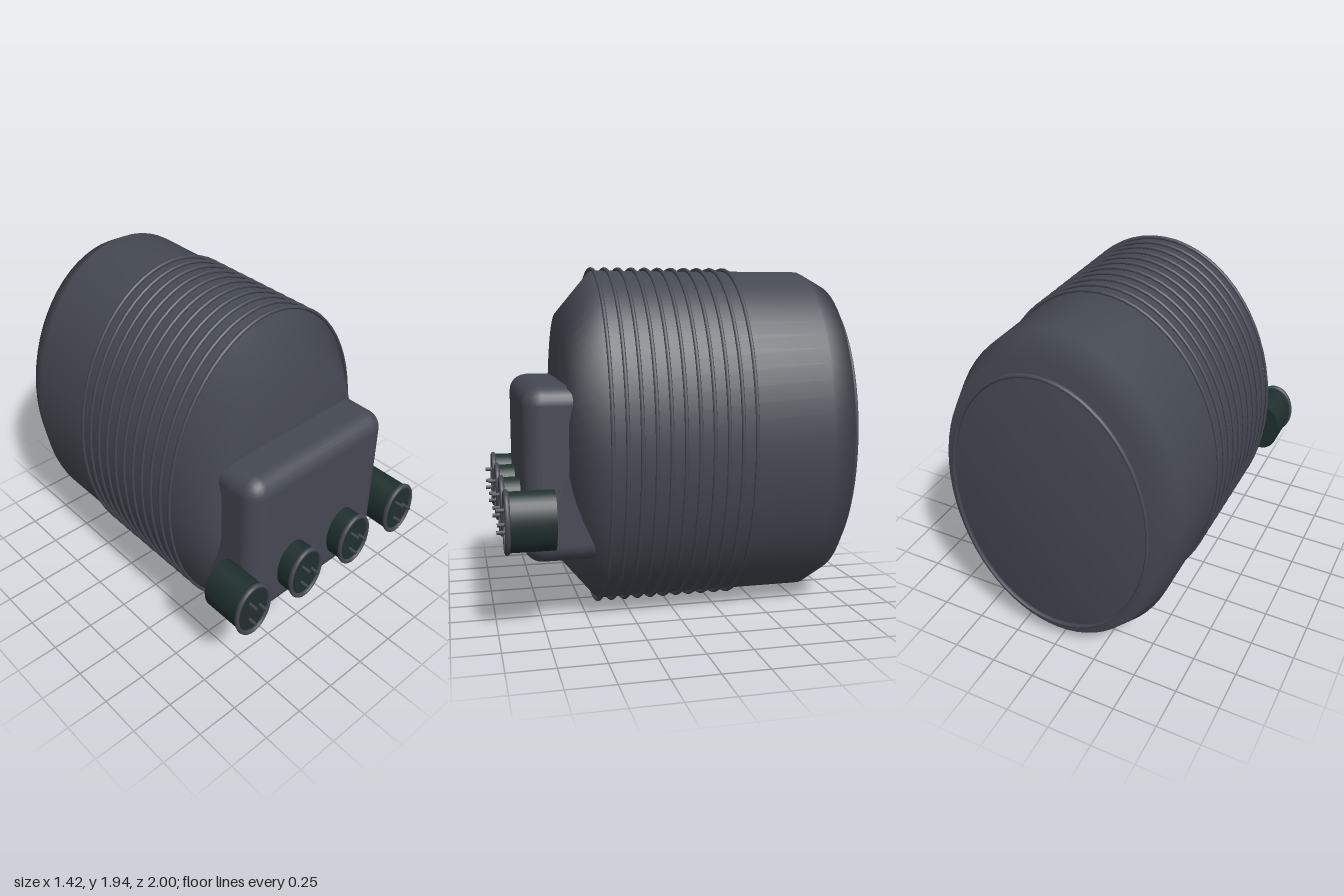
import * as THREE from 'three';
import { RoundedBoxGeometry } from 'three/addons/geometries/RoundedBoxGeometry.js';

const RX = 0.68, RY = 0.95, CY = 0.98; // oval half-width, half-height and centre height

export function createModel() {
  const model = new THREE.Group();
  model.name = 'ribbedPod';

  const shell = new THREE.MeshStandardMaterial({ color: 0x454952 });
  shell.name = 'slate grey';
  const socketDark = new THREE.MeshStandardMaterial({ color: 0x20302f });
  socketDark.name = 'dark green';

  const add = (parent, name, geometry, material, x = 0, y = 0, z = 0) => {
    const mesh = new THREE.Mesh(geometry, material);
    mesh.name = name;
    mesh.position.set(x, y, z);
    parent.add(mesh);
    return mesh;
  };

  // Flattened ring lying in the xy plane
  const ovalRing = (rx, ry, tube, segments) => {
    const geometry = new THREE.TorusGeometry(ry - tube, tube, 8, segments);
    return geometry.scale(rx / ry, 1, 1);
  };

  // Body: oval lathe running from back to front
  const profile = [
    [0, -0.955], [0.918, -0.955], [1, -0.81], [1, 0.41], [0.75, 0.61], [0, 0.61],
  ].map(([r, z]) => new THREE.Vector2(r, z));
  const body = new THREE.LatheGeometry(profile, 64);
  body.rotateX(Math.PI / 2);
  body.scale(RX, RY, 1);
  add(model, 'body', body, shell, 0, CY, 0);

  // Ribs around the front half of the body
  const ribs = new THREE.Group();
  ribs.name = 'ribs';
  model.add(ribs);
  const rib = ovalRing(0.697, 0.97, 0.011, 64);
  for (let i = 0; i < 11; i++) add(ribs, 'rib', rib, shell, 0, CY, 0.41 - i * 0.0775);

  // Ring behind the back plate
  add(model, 'backRing', ovalRing(0.575, 0.805, 0.0125, 64), shell, 0, CY, -0.9875);

  // Rounded housing on the front
  add(model, 'frontHousing', new RoundedBoxGeometry(1, 0.95, 0.45, 3, 0.1), shell, 0, 0.845, 0.625);

  // Four oval sockets, each with a rim and three pins
  const barrel = new THREE.CylinderGeometry(0.16, 0.16, 0.25, 32);
  barrel.rotateX(Math.PI / 2);
  barrel.scale(0.71, 1, 1);
  const rim = ovalRing(0.124, 0.173, 0.0145, 32);
  const pin = new THREE.CylinderGeometry(0.011, 0.011, 0.08, 10);
  pin.rotateX(Math.PI / 2);
  pin.scale(0.75, 1, 1);
  for (const x of [-0.585, -0.195, 0.195, 0.585]) {
    const socket = new THREE.Group();
    socket.name = 'socket';
    socket.position.set(x, 0.64, 0);
    model.add(socket);
    add(socket, 'socketBarrel', barrel, socketDark, 0, 0, 0.825);
    add(socket, 'socketRim', rim, shell, 0, 0, 0.95);
    for (let i = 0; i < 3; i++) {
      const a = (i * Math.PI * 2) / 3;
      add(socket, 'socketPin', pin, shell, 0.048 * Math.cos(a), 0.067 * Math.sin(a), 0.96);
    }
  }

  return model;
}
